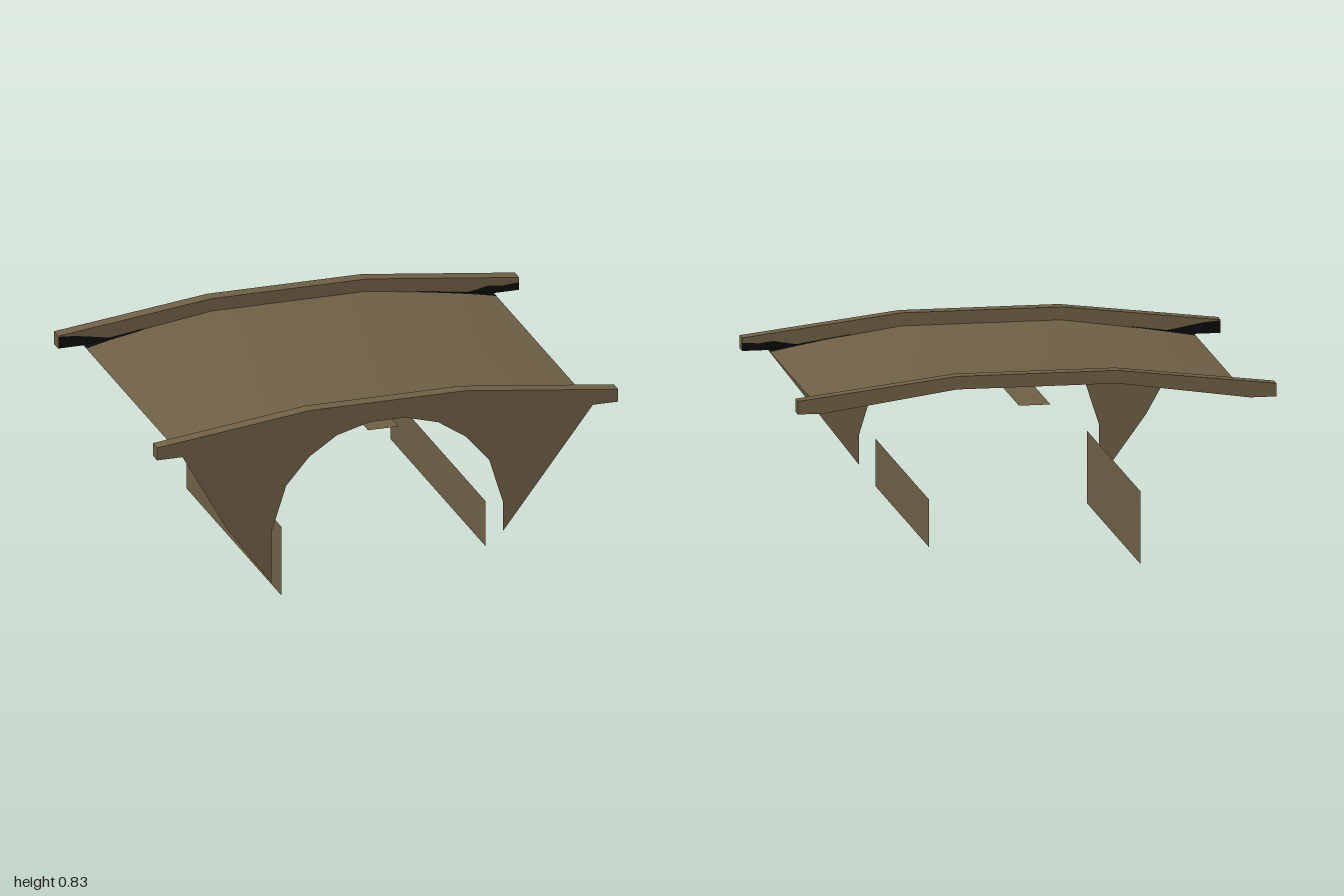
import * as THREE from 'three';

const INNER = 0.611, OUTER = 0.667;

// Height of the deck at a given x
const deckY = (x) => 0.775 - 0.08 * Math.max(0, (Math.abs(x) - 0.335) / 0.555);

const shapeOf = (pts) => new THREE.Shape(pts.map(([x, y]) => new THREE.Vector2(x, y)));

export function createModel() {
  const model = new THREE.Group();
  model.name = 'archedBridge';
  const stone = new THREE.MeshStandardMaterial({ color: 0x706146, side: THREE.DoubleSide });
  stone.name = 'brown stone';
  const stain = new THREE.MeshStandardMaterial({ color: 0x0c0c0c, side: THREE.DoubleSide });
  stain.name = 'black stain';

  const add = (name, geometry, material = stone) => {
    const mesh = new THREE.Mesh(geometry, material);
    mesh.name = name;
    model.add(mesh);
    return mesh;
  };

  // Thin curved deck: three spans with smooth shading
  const deck = new THREE.PlaneGeometry(2, 2 * INNER, 3, 1).rotateX(-Math.PI / 2);
  const columns = [-0.89, -0.335, 0.335, 0.89];
  const p = deck.attributes.position;
  for (let i = 0; i < p.count; i++) {
    const x = columns[i % 4];
    p.setX(i, x);
    p.setY(i, deckY(x));
  }
  deck.computeVertexNormals();
  add('deck', deck);

  // Solid parapets along both sides
  const parapetShape = shapeOf([
    [-1, 0.695], [-0.89, 0.695], [-0.335, 0.775], [0.335, 0.775], [0.89, 0.695], [1, 0.695],
    [1, 0.75], [0.335, 0.83], [-0.335, 0.83], [-1, 0.75],
  ]);
  for (const [name, z] of [['frontParapet', INNER], ['backParapet', -OUTER]]) {
    const geo = new THREE.ExtrudeGeometry(parapetShape, { depth: OUTER - INNER, bevelEnabled: false });
    add(name, geo).position.z = z;
  }

  // Front wall with the arch opening and two uneven pointed legs
  const wall = shapeOf([
    [-0.89, 0.695], [-0.7, 0.355], [-0.503, 0.085], [-0.503, 0.315], [-0.44, 0.51], [-0.34, 0.625],
    [-0.22, 0.705], [-0.075, 0.745], [0.075, 0.745], [0.22, 0.705], [0.34, 0.625], [0.44, 0.51],
    [0.5, 0.315], [0.5, 0.185], [0.89, 0.695], [0.335, 0.775], [-0.335, 0.775],
  ]);
  add('frontArchWall', new THREE.ShapeGeometry(wall)).position.z = OUTER;

  // Loose panels of the arch lining: two upright, one flat under the crown
  for (const [name, x, low] of [['rightLining', -0.442, 0], ['leftLining', 0.442, 0.105]]) {
    const panel = new THREE.PlaneGeometry(2 * INNER, 0.305 - low).rotateY(Math.PI / 2);
    add(name, panel).position.set(x, (0.305 + low) / 2, 0);
  }
  const crown = new THREE.PlaneGeometry(0.132, 2 * INNER).rotateX(Math.PI / 2);
  add('crownLining', crown).position.y = 0.685;

  // Dark stains in the deck corners, on both faces of the deck
  for (const sx of [-1, 1]) {
    const reach = sx < 0 ? 0.63 : 0.55;
    for (const sz of [-1, 1]) {
      const edge = sz < 0 ? 0.57 : 0.56;
      const geo = new THREE.ShapeGeometry(shapeOf([
        [0.888, 0.61], [0.888, edge], [0.78, edge + 0.018], [0.66, 0.597], [reach, 0.602], [reach, 0.61],
      ]));
      const q = geo.attributes.position;
      for (let i = 0; i < q.count; i++) {
        const x = sx * q.getX(i), z = sz * q.getY(i);
        q.setXYZ(i, x, deckY(x), z);
      }
      geo.computeVertexNormals();
      for (const lift of [-0.003, 0.003]) add('deckStain', geo, stain).position.y = lift;

      // Stain on the inner face of the parapet end
      const top = sx < 0 ? 0.748 : 0.73;
      const face = new THREE.ShapeGeometry(shapeOf([
        [sx * 0.998, 0.697], [sx * 0.998, top], [sx * 0.93, top - 0.005], [sx * 0.87, 0.733],
        [sx * 0.8, 0.72], [sx * 0.76, 0.714], [sx * 0.89, 0.697],
      ]));
      add('parapetStain', face, stain).position.z = sz * (INNER - 0.003);
    }
  }

  return model;
}
